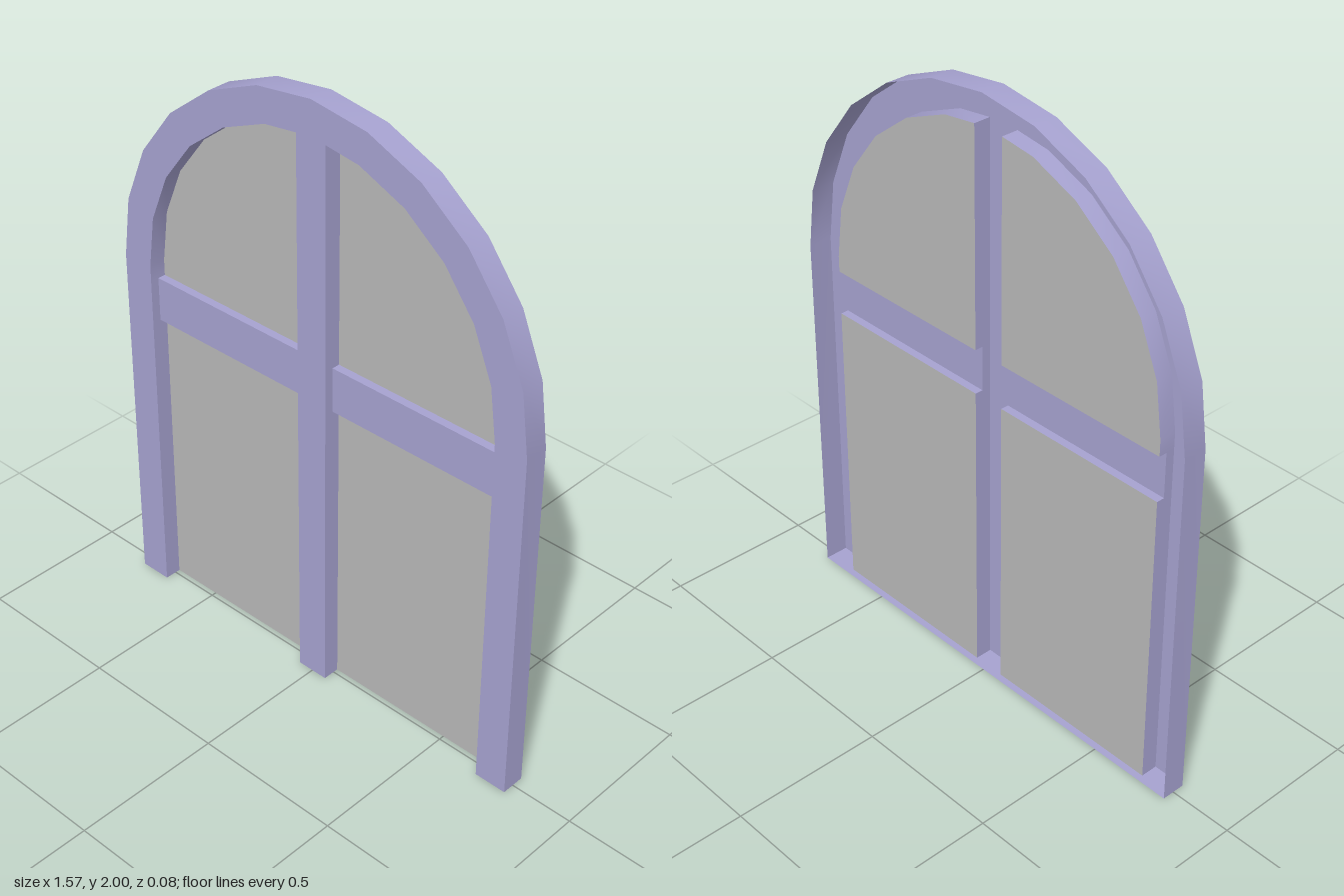
import * as THREE from 'three';

const OUTER = 0.787, INNER = 0.677, SPRING = 1.213;   // arch radii and centre height
const MULLION = 0.055, BAR_LOW = 1.01, BAR_HIGH = 1.16;
const BACK = -0.04, FRONT = 0.04, PANE_Z = -0.017, BAR_Z = 0.01;

const frameMat = new THREE.MeshStandardMaterial({ color: 0xa6a2d0, side: THREE.DoubleSide });
const paneMat = new THREE.MeshStandardMaterial({ color: 0xb8b8b8, side: THREE.DoubleSide });

// Points of an arch, in 15 degree steps
function arc(radius, from, to) {
  const points = [];
  for (let i = from; i <= to; i++) {
    const a = (i * Math.PI) / 12;
    points.push([radius * Math.cos(a), SPRING + radius * Math.sin(a)]);
  }
  return points;
}

// Mirrors an outline to the other side, keeping its facing
function mirror(points, side) {
  return side > 0 ? points : points.map(([x, y]) => [-x, y]).reverse();
}

// Flat sheet facing the front
function sheet(points, z) {
  const shape = new THREE.Shape(points.map(([x, y]) => new THREE.Vector2(x, y)));
  return new THREE.ShapeGeometry(shape).translate(0, 0, z);
}

// Strip along a path, facing to the right of its direction
function wall(points, zBack, zFront) {
  const positions = [], index = [];
  points.forEach(([x, y], i) => {
    positions.push(x, y, zBack, x, y, zFront);
    const k = 2 * i;
    if (i < points.length - 1) index.push(k, k + 2, k + 3, k, k + 3, k + 1);
  });
  const geometry = new THREE.BufferGeometry();
  geometry.setAttribute('position', new THREE.Float32BufferAttribute(positions, 3));
  geometry.setIndex(index);
  geometry.computeVertexNormals();
  return geometry;
}

export function createModel() {
  const model = new THREE.Group();
  model.name = 'archedWindow';
  const add = (name, geometry, material = frameMat) => {
    const mesh = new THREE.Mesh(geometry, material);
    mesh.name = name;
    model.add(mesh);
  };

  // Inner arch of the +x opening, ending where it meets the mullion
  const [ax, ay] = arc(INNER, 5, 5)[0];
  const top = SPRING + INNER;
  const meetY = top + (ay - top) * (MULLION / ax);
  const innerArch = [...arc(INNER, 0, 5), [MULLION, meetY]];

  // Frame face with the mullion as one sheet
  const opening = [[INNER, 0], ...innerArch, [MULLION, 0]];
  const outer = [[OUTER, 0], ...arc(OUTER, 0, 12), [-OUTER, 0]];
  const outline = [...outer, ...mirror(opening, -1).reverse().map((p) => p)];
  add('frameFace', sheet([...outline, ...opening.slice().reverse()], FRONT));

  // Outer rim and the sill along the bottom
  add('outerRim', wall(outer, BACK, FRONT));
  add('sill', wall([[-OUTER, 0], [OUTER, 0]], BACK, PANE_Z));
  add('mullionFoot', wall([[-MULLION, 0], [MULLION, 0]], PANE_Z, FRONT));

  for (const s of [1, -1]) {
    const m = (points) => mirror(points, s);
    const tag = s > 0 ? 'left' : 'right';

    add(tag + 'FrameFoot', wall(m([[INNER, 0], [OUTER, 0]]), PANE_Z, FRONT));

    // Recessed panes
    add(tag + 'LowerPane', sheet(m([[MULLION, 0], [INNER, 0], [INNER, BAR_LOW], [MULLION, BAR_LOW]]), PANE_Z), paneMat);
    add(tag + 'UpperPane', sheet(m([[MULLION, BAR_HIGH], [INNER, BAR_HIGH], ...innerArch]), PANE_Z), paneMat);

    // Crossbar, set back from the frame face
    add(tag + 'Crossbar', sheet(m([[MULLION, BAR_LOW], [INNER, BAR_LOW], [INNER, BAR_HIGH], [MULLION, BAR_HIGH]]), BAR_Z));
    add(tag + 'CrossbarTop', wall(m([[INNER, BAR_HIGH], [MULLION, BAR_HIGH]]), PANE_Z, BAR_Z));
    add(tag + 'CrossbarUnderside', wall(m([[MULLION, BAR_LOW], [INNER, BAR_LOW]]), PANE_Z, BAR_Z));

    // Inner walls of the openings: frame side, then mullion side
    const archReveal = [...innerArch].reverse();
    add(tag + 'ArchReveal', wall(m([...archReveal, [INNER, BAR_HIGH]]), PANE_Z, FRONT));
    add(tag + 'LowerReveal', wall(m([[INNER, BAR_LOW], [INNER, 0]]), PANE_Z, FRONT));
    add(tag + 'BarReveal', wall(m([[INNER, BAR_HIGH], [INNER, BAR_LOW]]), BAR_Z, FRONT));
    add(tag + 'MullionUpperSide', wall(m([[MULLION, BAR_HIGH], [MULLION, meetY]]), PANE_Z, FRONT));
    add(tag + 'MullionLowerSide', wall(m([[MULLION, 0], [MULLION, BAR_LOW]]), PANE_Z, FRONT));
    add(tag + 'MullionBarSide', wall(m([[MULLION, BAR_LOW], [MULLION, BAR_HIGH]]), BAR_Z, FRONT));
  }
  return model;
}
